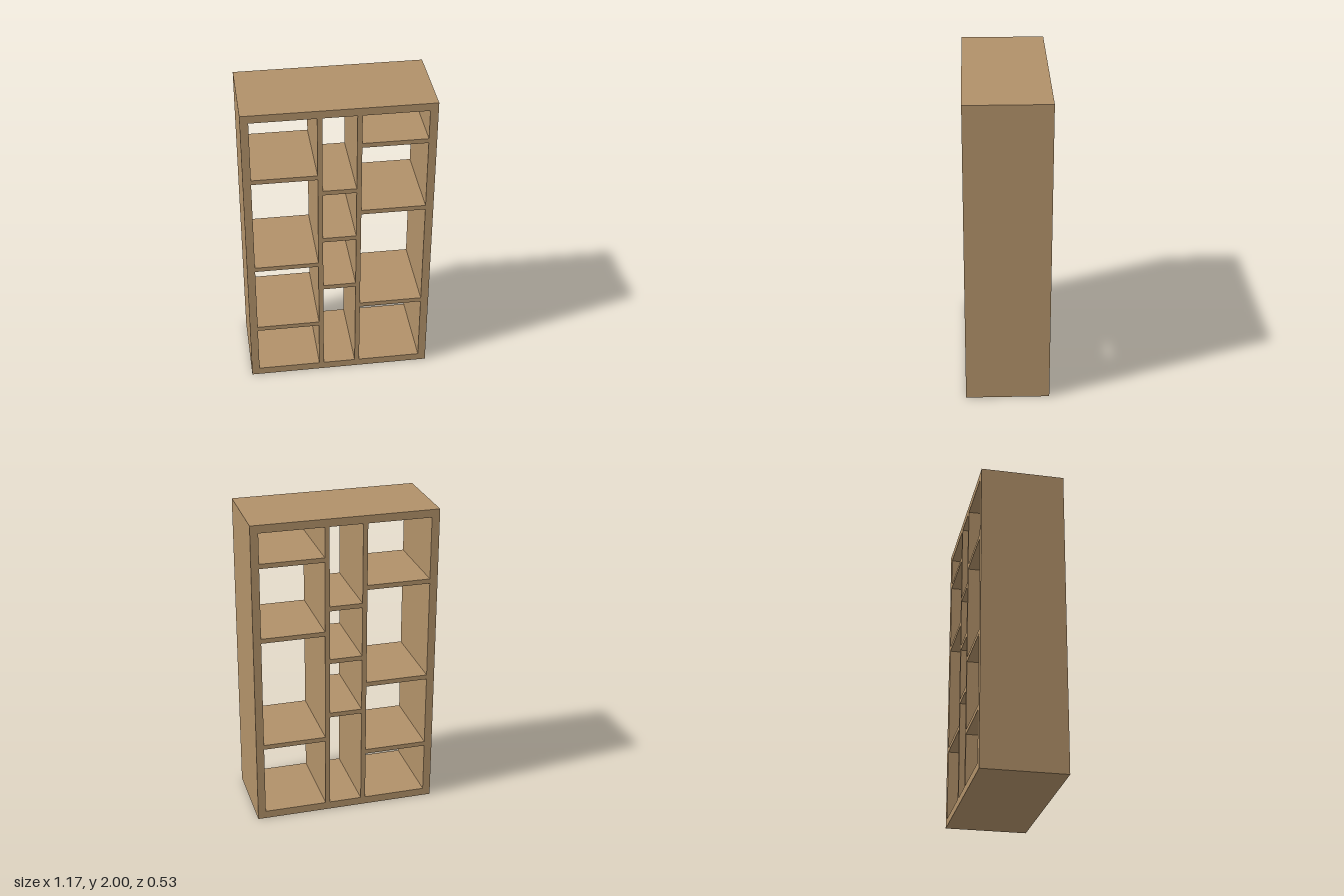
import * as THREE from 'three';

const W = 1.17, H = 2, D = 0.53; // overall size
const FRAME = 0.05, BOARD = 0.03; // panel thicknesses

export function createModel() {
  const model = new THREE.Group();
  model.name = 'openBookcase';
  const wood = new THREE.MeshStandardMaterial({ color: 0xb19169 });

  // Full-depth board spanning x0..x1 and y0..y1
  const board = (name, x0, x1, y0, y1) => {
    const mesh = new THREE.Mesh(new THREE.BoxGeometry(x1 - x0, y1 - y0, D), wood);
    mesh.position.set((x0 + x1) / 2, (y0 + y1) / 2, 0);
    mesh.name = name;
    model.add(mesh);
  };

  // Outer frame
  const inner = W / 2 - FRAME;
  board('rightSide', -W / 2, -inner, 0, H);
  board('leftSide', inner, W / 2, 0, H);
  board('bottomPanel', -inner, inner, 0, FRAME);
  board('topPanel', -inner, inner, H - FRAME, H);

  // Upright dividers between the three columns
  const div = 0.119, half = BOARD / 2;
  board('rightDivider', -div - half, -div + half, FRAME, H - FRAME);
  board('leftDivider', div - half, div + half, FRAME, H - FRAME);

  // Staggered shelves: column extents and shelf centre heights
  const columns = [
    ['rightShelf', -inner, -div - half, [0.392, 0.878, 1.537]],
    ['middleShelf', -div + half, div - half, [0.692, 1.067, 1.422]],
    ['leftShelf', div + half, inner, [0.522, 1.258, 1.743]],
  ];
  for (const [name, x0, x1, heights] of columns)
    heights.forEach((y, i) => board(name + (i + 1), x0, x1, y - half, y + half));

  return model;
}
